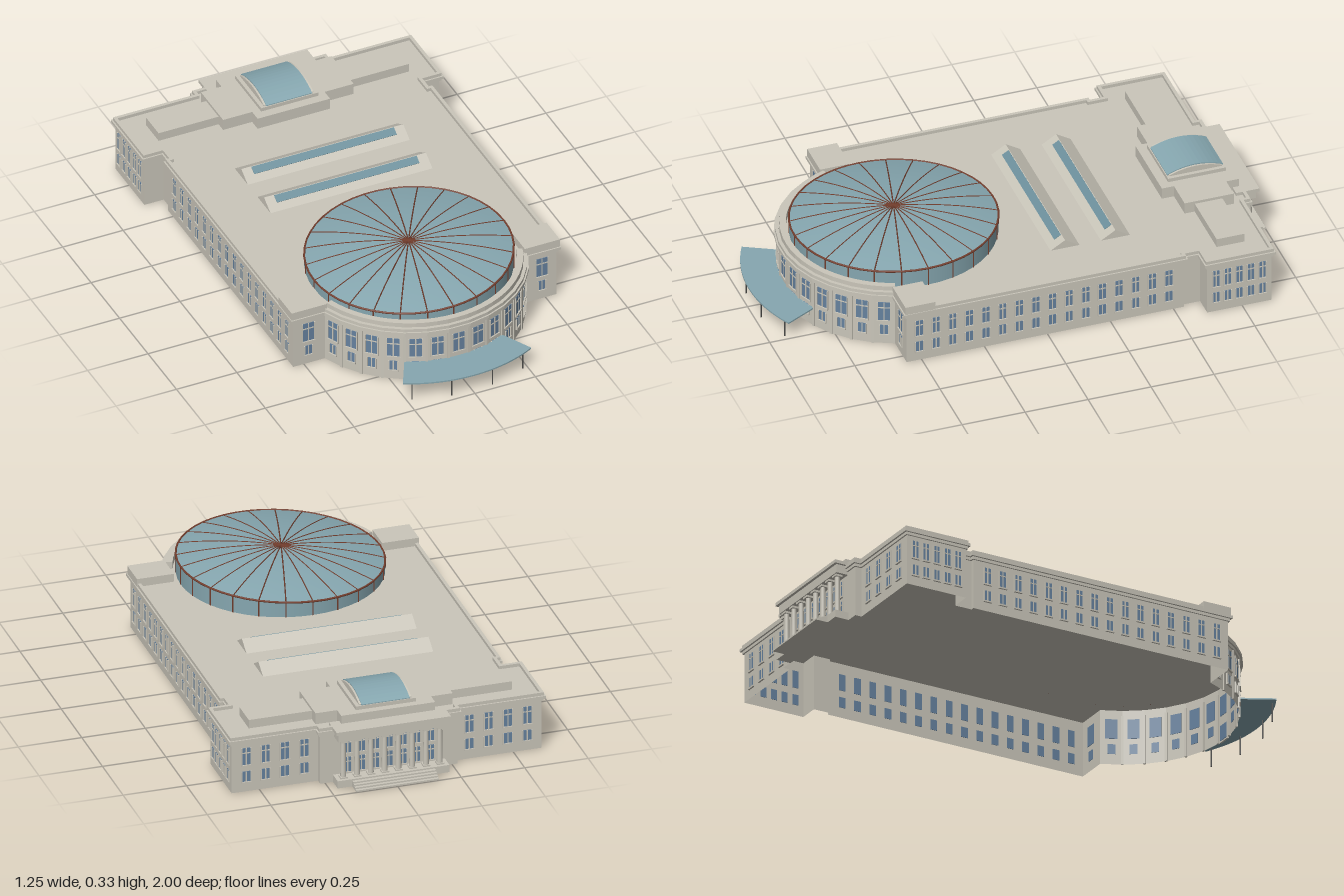
import * as THREE from 'three';

const mat = (name, color, side = THREE.FrontSide) => {
  const m = new THREE.MeshStandardMaterial({ color, side });
  m.name = name;
  return m;
};

export function createModel() {
  const stone = mat('stone', 0xcac6ba, THREE.DoubleSide);
  const roofGlass = mat('roof glass', 0x86a7b0, THREE.DoubleSide);
  const windowGlass = mat('window glass', 0x66829f);
  const skylightGlass = mat('skylight glass', 0x6d909c);
  const rust = mat('rust metal', 0x77402f);
  const steel = mat('dark steel', 0x4b4b49);

  const model = new THREE.Group();
  model.name = 'arenaBuilding';
  const add = (name, geo, material, parent = model) => {
    const mesh = new THREE.Mesh(geo, material);
    mesh.name = name;
    parent.add(mesh);
    return mesh;
  };
  // Box given by its extents
  const block = (name, x0, x1, y0, y1, z0, z1, material = stone, parent = model) => {
    const m = add(name, new THREE.BoxGeometry(x1 - x0, y1 - y0, z1 - z0), material, parent);
    m.position.set((x0 + x1) / 2, (y0 + y1) / 2, (z0 + z1) / 2);
    return m;
  };
  // Plan points are (x, -z); a slab is a plan raised from y0 to y1
  const slab = (name, pts, hole, y0, y1, material = stone) => {
    const shape = new THREE.Shape(pts);
    if (hole) shape.holes.push(new THREE.Path(hole));
    const g = new THREE.ExtrudeGeometry(shape, { depth: y1 - y0, bevelEnabled: false });
    return add(name, g.rotateX(-Math.PI / 2).translate(0, y0, 0), material);
  };
  const offset = (pts, d) => pts.map((p, i) => {
    const n = (a, b) => new THREE.Vector2(b.y - a.y, a.x - b.x).normalize();
    const n1 = n(pts.at(i - 1), p), n2 = n(p, pts[(i + 1) % pts.length]);
    return p.clone().addScaledVector(n1.clone().add(n2), d / (1 + n1.dot(n2)));
  });

  // Footprint: faceted front apse, hall, rear wing
  const CZ = 0.42, R = 0.437, BAYS = 13, HALF = 1.245, ROOF = 0.222;
  const step = 2 * HALF / BAYS;
  const arc = (r, half, n, reverse) => Array.from({ length: n + 1 }, (_, i) => {
    const a = (reverse ? -1 : 1) * (-half + 2 * half * i / n);
    return new THREE.Vector2(r * Math.sin(a), -CZ - r * Math.cos(a));
  });
  const side = [[0.545, -0.56], [0.545, 0.54], [0.53, 0.54], [0.53, 0.61],
    [0.61, 0.61], [0.61, 0.865], [0.27, 0.865], [0.27, 0.892]];
  const plan = [...arc(R, HALF, BAYS),
    ...side.map(([x, v]) => new THREE.Vector2(x, v)),
    ...side.slice().reverse().map(([x, v]) => new THREE.Vector2(-x, v))];

  // Open-bottomed wall shell
  const pos = [];
  plan.forEach((p, i) => {
    const q = plan[(i + 1) % plan.length];
    const a = [p.x, 0, -p.y], b = [q.x, 0, -q.y], c = [q.x, ROOF, -q.y], d = [p.x, ROOF, -p.y];
    pos.push(...a, ...b, ...c, ...a, ...c, ...d);
  });
  const wallGeo = new THREE.BufferGeometry();
  wallGeo.setAttribute('position', new THREE.Float32BufferAttribute(pos, 3));
  wallGeo.computeVertexNormals();
  add('walls', wallGeo, stone);
  add('flatRoof', new THREE.ShapeGeometry(new THREE.Shape(plan)).rotateX(-Math.PI / 2).translate(0, ROOF, 0), stone);
  slab('lowerCornice', offset(plan, 0.006), plan, 0.2, 0.211);
  slab('cornice', offset(plan, 0.013), plan, 0.211, 0.222);
  slab('parapet', offset(plan, 0.007), offset(plan, -0.006), 0.222, 0.235);
  slab('apseAttic', [...arc(0.428, HALF, 26), ...arc(0.404, HALF, 26, true)], null, ROOF, 0.252);

  // Windows: glass plate, bars, surround and sill
  const addWindow = (x, y, z, turn, w, h, rows = 3) => {
    const g = new THREE.Group();
    g.name = 'window';
    g.position.set(x, y, z);
    g.rotation.y = turn;
    model.add(g);
    block('pane', -w / 2, w / 2, 0, h, -0.002, 0.002, windowGlass, g);
    block('mullion', -0.0022, 0.0022, 0, h, 0, 0.004, stone, g);
    if (rows > 1) block('transom', -w / 2, w / 2, h * 0.68, h * 0.68 + 0.004, 0, 0.004, stone, g);
    block('sill', -w / 2 - 0.004, w / 2 + 0.004, -0.006, 0, 0, 0.007, stone, g);
    for (const s of [-1, 1]) {
      const e = s * (w / 2 + 0.002);
      block('jamb', e - 0.002, e + 0.002, 0, h, 0, 0.005, stone, g);
    }
  };
  // Apse bays with pilasters between them
  const rm = R * Math.cos(step / 2);
  for (let i = 0; i < BAYS; i++) {
    const a = -HALF + step * (i + 0.5), x = rm * Math.sin(a), z = CZ + rm * Math.cos(a);
    addWindow(x, 0.105, z, a, 0.046, 0.08);
    if (i === 6) addWindow(x, 0.004, z, a, 0.046, 0.062);
    else addWindow(x, 0.042, z, a, 0.03, 0.04, 1);
  }
  for (let i = 1; i < BAYS; i++) {
    const a = -HALF + step * i;
    const p = block('apsePilaster', -0.005, 0.005, 0, 0.2, -0.004, 0.004);
    p.position.set(R * Math.sin(a), 0.1, CZ + R * Math.cos(a));
    p.rotation.y = a;
  }
  for (const s of [-1, 1]) {
    // Hall and wing windows, mirrored
    addWindow(s * 0.483, 0.105, 0.56, 0, 0.046, 0.08);
    addWindow(s * 0.483, 0.042, 0.56, 0, 0.028, 0.04, 1);
    for (let i = 0; i < 16; i++) {
      const z = 0.51 - i * 0.066;
      addWindow(s * 0.545, 0.112, z, s * Math.PI / 2, 0.028, 0.066);
      addWindow(s * 0.545, 0.042, z, s * Math.PI / 2, 0.028, 0.042, 1);
    }
    for (let i = 0; i < 5; i++) {
      const z = -0.645 - i * 0.046;
      addWindow(s * 0.61, 0.112, z, s * Math.PI / 2, 0.025, 0.07);
      addWindow(s * 0.61, 0.042, z, s * Math.PI / 2, 0.025, 0.042, 1);
    }
    for (let i = 0; i < 4; i++) {
      const x = s * (0.325 + i * 0.076);
      addWindow(x, 0.112, -0.865, Math.PI, 0.032, 0.07);
      addWindow(x, 0.042, -0.865, Math.PI, 0.032, 0.042, 1);
    }
    block('cornerAttic', s * 0.4825 - 0.0725, s * 0.4825 + 0.0725, ROOF, 0.255, 0.45, 0.568);
    block('wingAttic', s * 0.393 - 0.125, s * 0.393 + 0.125, ROOF, 0.257, -0.79, -0.68);
  }

  // Rear portico
  block('porticoBase', -0.22, 0.22, 0, 0.03, -0.95, -0.89);
  block('entablature', -0.215, 0.215, 0.188, 0.222, -0.942, -0.88);
  block('porticoCornice', -0.225, 0.225, 0.222, 0.235, -0.953, -0.86);
  for (let i = 0; i < 8; i++) {
    const x = -0.19 + i * 0.38 / 7;
    const c = add('column', new THREE.CylinderGeometry(0.0095, 0.0115, 0.15, 12), stone);
    c.position.set(x, 0.108, -0.924);
    block('columnBase', x - 0.014, x + 0.014, 0.03, 0.036, -0.938, -0.91);
    block('capital', x - 0.014, x + 0.014, 0.18, 0.188, -0.938, -0.91);
    if (i < 7) {
      addWindow(x + 0.19 / 7, 0.115, -0.892, Math.PI, 0.028, 0.062);
      addWindow(x + 0.19 / 7, 0.036, -0.892, Math.PI, 0.028, 0.06);
    }
  }
  for (let i = 0; i < 4; i++) block('step', -0.163, 0.163, 0, 0.024 - i * 0.006, -0.964 - i * 0.012, -0.945);

  // Rear attic with barrel skylight
  block('rearAttic', -0.27, 0.27, ROOF, 0.268, -0.835, -0.64);
  block('rearAtticFront', -0.15, 0.15, ROOF, 0.268, -0.64, -0.592);
  block('rearAtticBack', -0.185, 0.185, ROOF, 0.268, -0.885, -0.835);
  block('skylightBase', -0.118, 0.118, 0.268, 0.283, -0.857, -0.628);
  const barrel = (name, half, h, width, material) => {
    const s = new THREE.Shape();
    s.moveTo(-half, 0);
    for (let i = 0; i <= 12; i++) {
      const t = -1 + i / 6;
      s.lineTo(t * half, 0.003 + h * (1 - t * t));
    }
    s.lineTo(half, 0);
    const g = new THREE.ExtrudeGeometry(s, { depth: width, bevelEnabled: false });
    add(name, g.translate(0, 0, -width / 2).rotateY(Math.PI / 2).translate(0, 0.283, -0.743), material);
  };
  barrel('barrelSkylight', 0.111, 0.025, 0.19, roofGlass);
  barrel('barrelGable', 0.105, 0.021, 0.206, stone);

  // Two ridged roof lights with a glazed strip on the front slope
  for (const z of [-0.3425, -0.1425]) {
    const s = new THREE.Shape([[-0.0575, 0], [0.0575, 0], [0, 0.035]].map(p => new THREE.Vector2(...p)));
    const g = new THREE.ExtrudeGeometry(s, { depth: 0.67, bevelEnabled: false });
    add('ridgeRoofLight', g.translate(0, 0, -0.335).rotateY(Math.PI / 2).translate(0, ROOF, z), stone);
    const strip = add('ridgeGlazing', new THREE.BoxGeometry(0.59, 0.003, 0.031), skylightGlass);
    strip.position.set(0, ROOF + 0.026, z + 0.0155);
    strip.rotation.x = Math.atan(0.035 / 0.0575);
  }

  // Tilted glass dome on its drum
  const DR = 0.393, RISE = 0.047, TILT = 0.043, RIM = 0.279, RIBS = 24;
  const drum = new THREE.CylinderGeometry(DR, DR, RIM - ROOF, 48, 1, true).translate(0, (RIM + ROOF) / 2, 0);
  const dp = drum.attributes.position;
  for (let i = 0; i < dp.count; i++) if (dp.getY(i) > 0.25) dp.setY(i, dp.getY(i) + TILT * dp.getX(i));
  add('domeDrum', drum, roofGlass).position.z = CZ;
  const dome = new THREE.Group();
  dome.name = 'dome';
  dome.position.set(0, RIM, CZ);
  dome.rotation.z = TILT;
  model.add(dome);
  const domeY = r => RISE * (1 - (r / DR) ** 2);
  const profile = Array.from({ length: 11 }, (_, i) => new THREE.Vector2(DR * (1 - i / 10), domeY(DR * (1 - i / 10))));
  add('domeGlass', new THREE.LatheGeometry(profile, 48), roofGlass, dome);
  add('domeRim', new THREE.TorusGeometry(DR, 0.004, 6, 48).rotateX(Math.PI / 2), rust, dome);
  const ribPath = new THREE.CatmullRomCurve3(profile.map(p => new THREE.Vector3(p.x, p.y, 0)));
  const ribGeo = new THREE.TubeGeometry(ribPath, 10, 0.0024, 4);
  for (let i = 0; i < RIBS; i++) {
    const a = i * 2 * Math.PI / RIBS;
    add('domeRib', ribGeo, rust, dome).rotation.y = a;
    const x = DR * Math.cos(a), z = CZ + DR * Math.sin(a);
    block('drumPost', x - 0.002, x + 0.002, ROOF, RIM + TILT * x, z - 0.002, z + 0.002, rust);
  }

  // Curved entrance canopy on thin posts
  slab('canopy', [...arc(0.437, 0.48, 16), ...arc(0.575, 0.48, 16, true)].reverse(), null, 0.076, 0.082, roofGlass);
  for (const a of [-0.42, -0.15, 0.15, 0.42]) {
    const p = add('canopyPost', new THREE.CylinderGeometry(0.0028, 0.0028, 0.077, 8), steel);
    p.position.set(0.562 * Math.sin(a), 0.0385, CZ + 0.562 * Math.cos(a));
  }
  return model;
}
